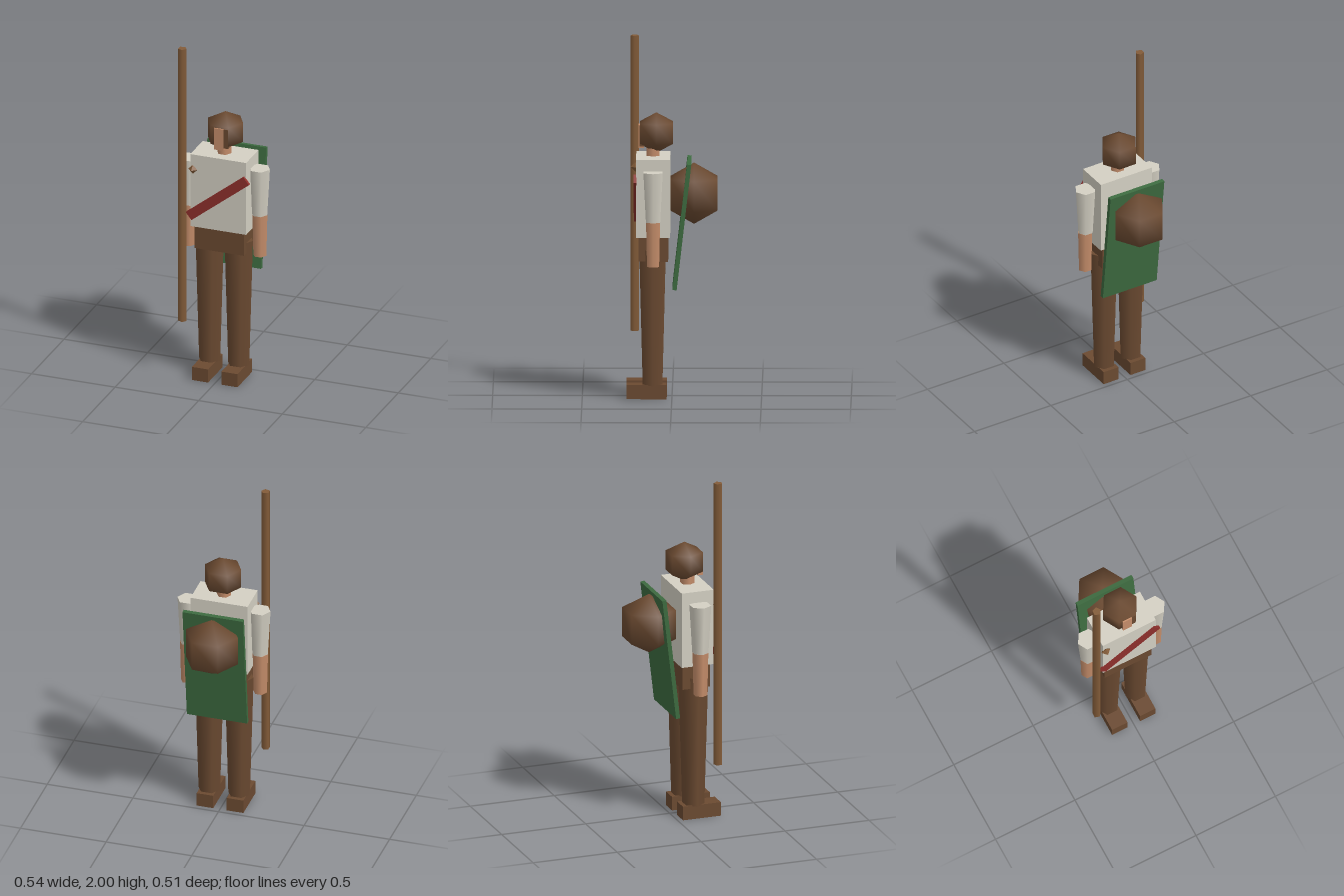
import * as THREE from 'three';

const material = (name, color, side = THREE.FrontSide) => {
  const m = new THREE.MeshStandardMaterial({ color, side });
  m.name = name;
  return m;
};

export function createModel() {
  const model = new THREE.Group();
  model.name = 'traveller';
  const cloth = material('cream cloth', 0xd4d0c3);
  const brown = material('dark brown', 0x6b4a31);
  const skin = material('skin', 0xc68e6b);
  const wood = material('wood', 0x835c39);
  const red = material('red', 0x8f302c);
  const green = material('green', 0x3d6b40);

  const add = (name, geometry, mat, x, y, z) => {
    const mesh = new THREE.Mesh(geometry, mat);
    mesh.name = name;
    mesh.position.set(x, y, z);
    model.add(mesh);
    return mesh;
  };
  const box = (name, mat, [w, h, d], [x, y, z]) =>
    add(name, new THREE.BoxGeometry(w, h, d), mat, x, y, z);
  // Six-sided tapered limb with corners pointing sideways
  const limb = (name, mat, rTop, rBottom, y0, y1, x, z) => {
    const g = new THREE.CylinderGeometry(rTop, rBottom, y1 - y0, 6).rotateY(Math.PI / 6);
    return add(name, g, mat, x, (y0 + y1) / 2, z);
  };
  // Coarse smooth-shaded ball
  const ball = (name, mat, r, ry, x, y, z) =>
    add(name, new THREE.SphereGeometry(r, 6, 3).scale(1, ry / r, 1), mat, x, y, z);

  // Torso and hips
  box('torso', cloth, [0.334, 0.44, 0.19], [0, 1.135, 0.105]);
  box('hips', brown, [0.296, 0.145, 0.165], [0, 0.85, 0.103]);

  // Head, neck and face
  limb('neck', skin, 0.042, 0.042, 1.33, 1.42, 0, 0.105);
  ball('hair', brown, 0.122, 0.114, 0, 1.484, 0.087);
  box('face', skin, [0.056, 0.13, 0.03], [-0.003, 1.465, 0.171]);
  box('faceSide', brown, [0.026, 0.115, 0.026], [0.038, 1.47, 0.167]);

  // Arms, legs and boots
  for (const [side, s] of [['left', 1], ['right', -1]]) {
    limb(side + 'Sleeve', cloth, 0.062, 0.046, 1.01, 1.29, s * 0.21, 0.104);
    limb(side + 'Forearm', skin, 0.045, 0.039, 0.76, 1.01, s * 0.212, 0.104);
    limb(side + 'Leg', brown, 0.085, 0.063, 0.075, 0.84, s * 0.087, 0.108);
    box(side + 'Boot', brown, [0.097, 0.08, 0.225], [s * 0.088, 0.04, 0.1415]);
  }

  // Sash across the chest and small brooch
  box('sash', red, [0.437, 0.055, 0.018], [0, 1.115, 0.205]).rotation.z = 0.665;
  add('brooch', new THREE.OctahedronGeometry(0.027), wood, -0.15, 1.267, 0.205);

  // Staff
  const staff = new THREE.CylinderGeometry(0.025, 0.025, 1.665, 5).rotateY(Math.PI / 2);
  add('staff', staff, wood, -0.21, 1.1675, 0.21);

  // Tilted board on the back with a round bundle
  box('backBoard', green, [0.352, 0.712, 0.024], [0, 0.975, -0.056]).rotation.x = -0.115;
  ball('bundle', brown, 0.175, 0.173, 0, 1.142, -0.123);

  return model;
}
